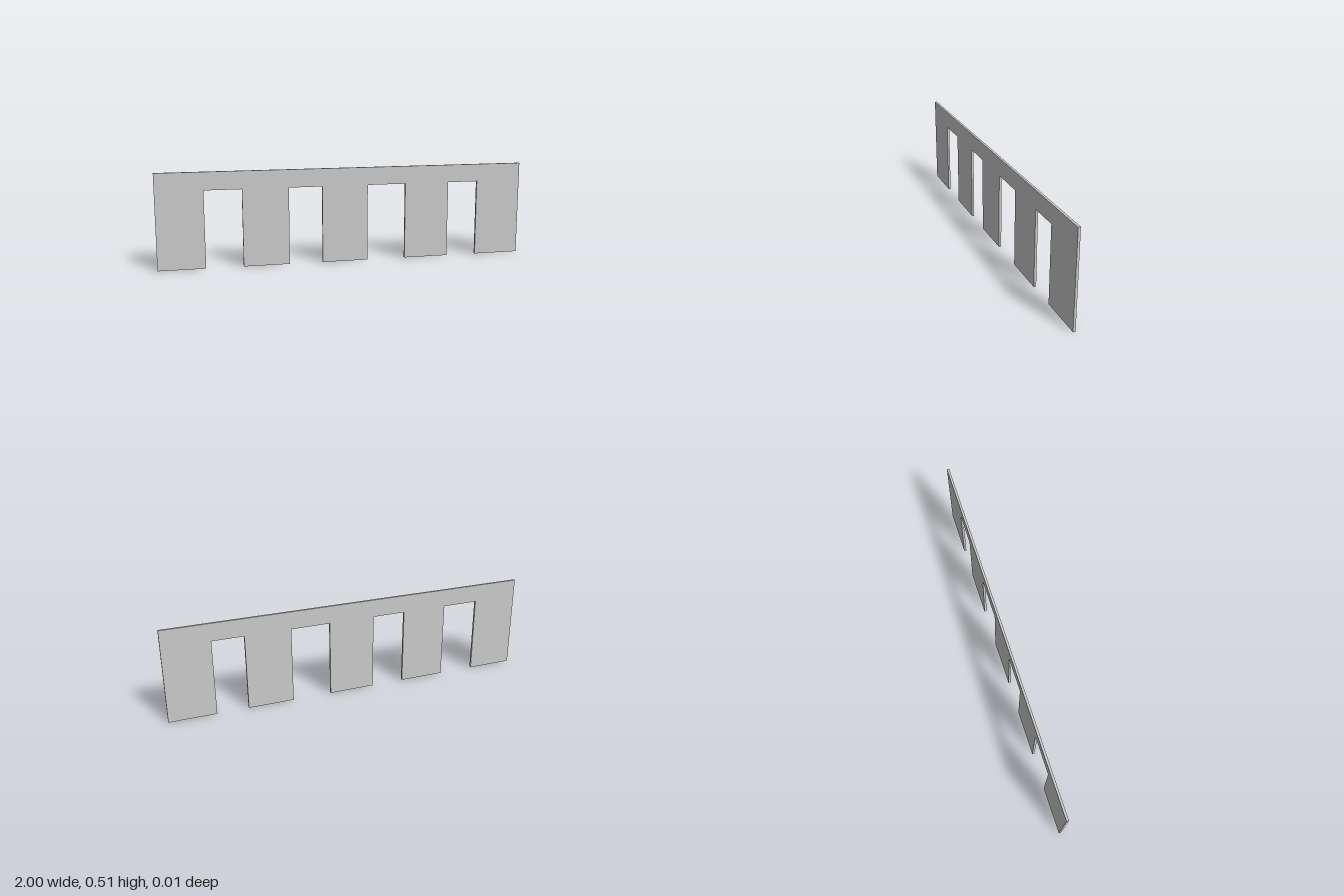
import * as THREE from 'three';

const HEIGHT = 0.51;
const LINTEL = 0.414; // underside of the top band
const THICKNESS = 0.0125;
// left and right edge of each doorway
const OPENINGS = [[-0.752, -0.555], [-0.309, -0.129], [0.12, 0.332], [0.579, 0.748]];

export function createModel() {
  const group = new THREE.Group();
  group.name = 'arcadeWall';

  // Wall outline: along the ground, stepping up and over each doorway
  const outline = new THREE.Shape();
  outline.moveTo(-1, 0);
  for (const [x0, x1] of OPENINGS) {
    outline.lineTo(x0, 0);
    outline.lineTo(x0, LINTEL);
    outline.lineTo(x1, LINTEL);
    outline.lineTo(x1, 0);
  }
  outline.lineTo(1, 0);
  outline.lineTo(1, HEIGHT);
  outline.lineTo(-1, HEIGHT);
  outline.closePath();

  const geometry = new THREE.ExtrudeGeometry(outline, { depth: THICKNESS, bevelEnabled: false });
  geometry.translate(0, 0, -THICKNESS / 2);

  const wall = new THREE.Mesh(geometry, new THREE.MeshStandardMaterial({ color: 0xcccccc }));
  wall.name = 'wallWithDoorways';
  group.add(wall);
  return group;
}
